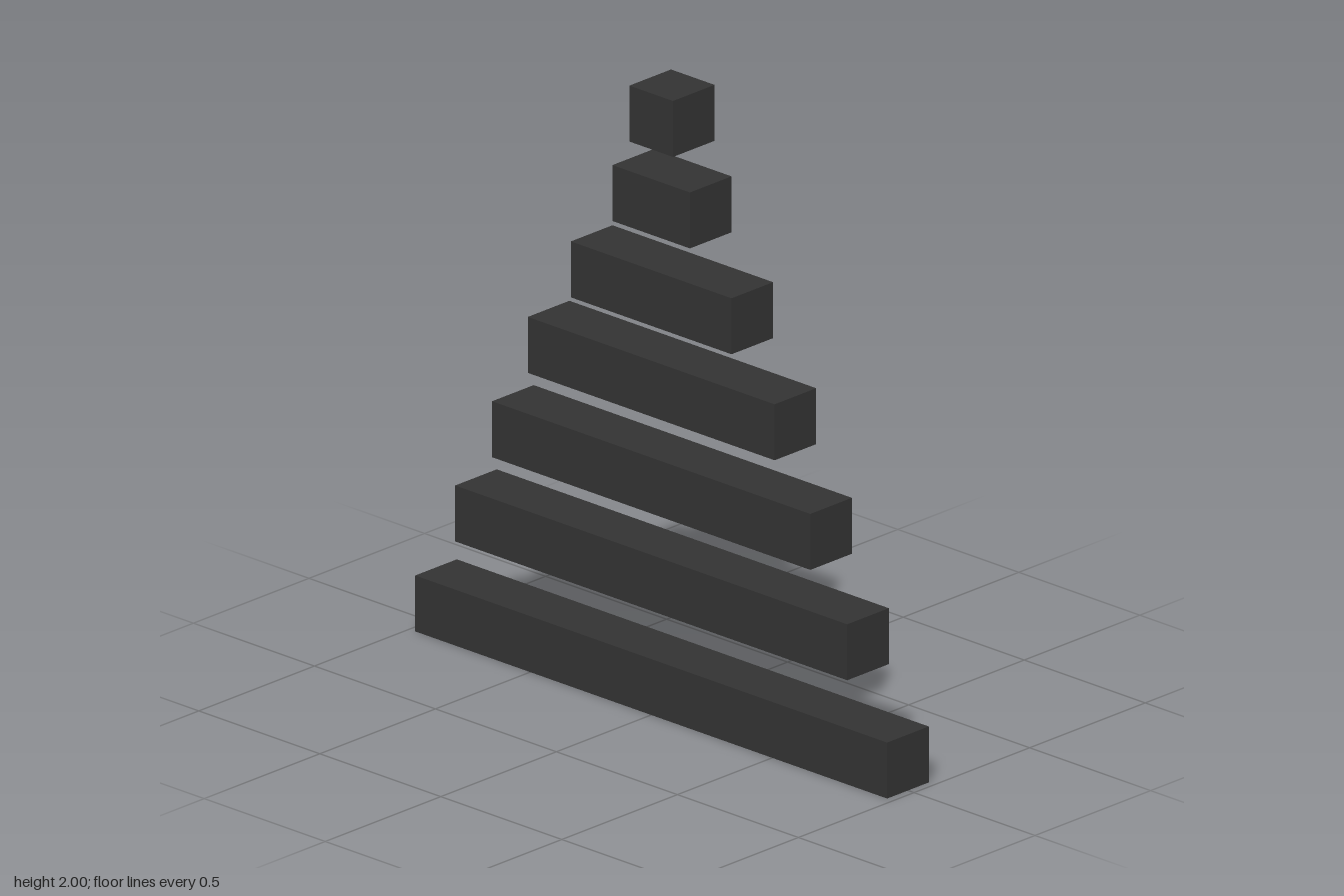
import * as THREE from 'three';

export function createModel() {
  const model = new THREE.Group();
  model.name = 'barPyramid';
  const material = new THREE.MeshStandardMaterial({ color: 0x333333, flatShading: true });
  const thickness = 0.18;

  // Floating square bars, bottom to top: [underside height, length along z]
  const bars = [
    [0, 1.95],
    [0.335, 1.62],
    [0.648, 1.315],
    [0.96, 1.02],
    [1.252, 0.664],
    [1.545, 0.32],
    [1.82, thickness],
  ];

  bars.forEach(([y, length], i) => {
    const bar = new THREE.Mesh(new THREE.BoxGeometry(thickness, thickness, length), material);
    bar.name = i === bars.length - 1 ? 'topCube' : `bar${i + 1}`;
    bar.position.y = y + thickness / 2;
    model.add(bar);
  });

  return model;
}
